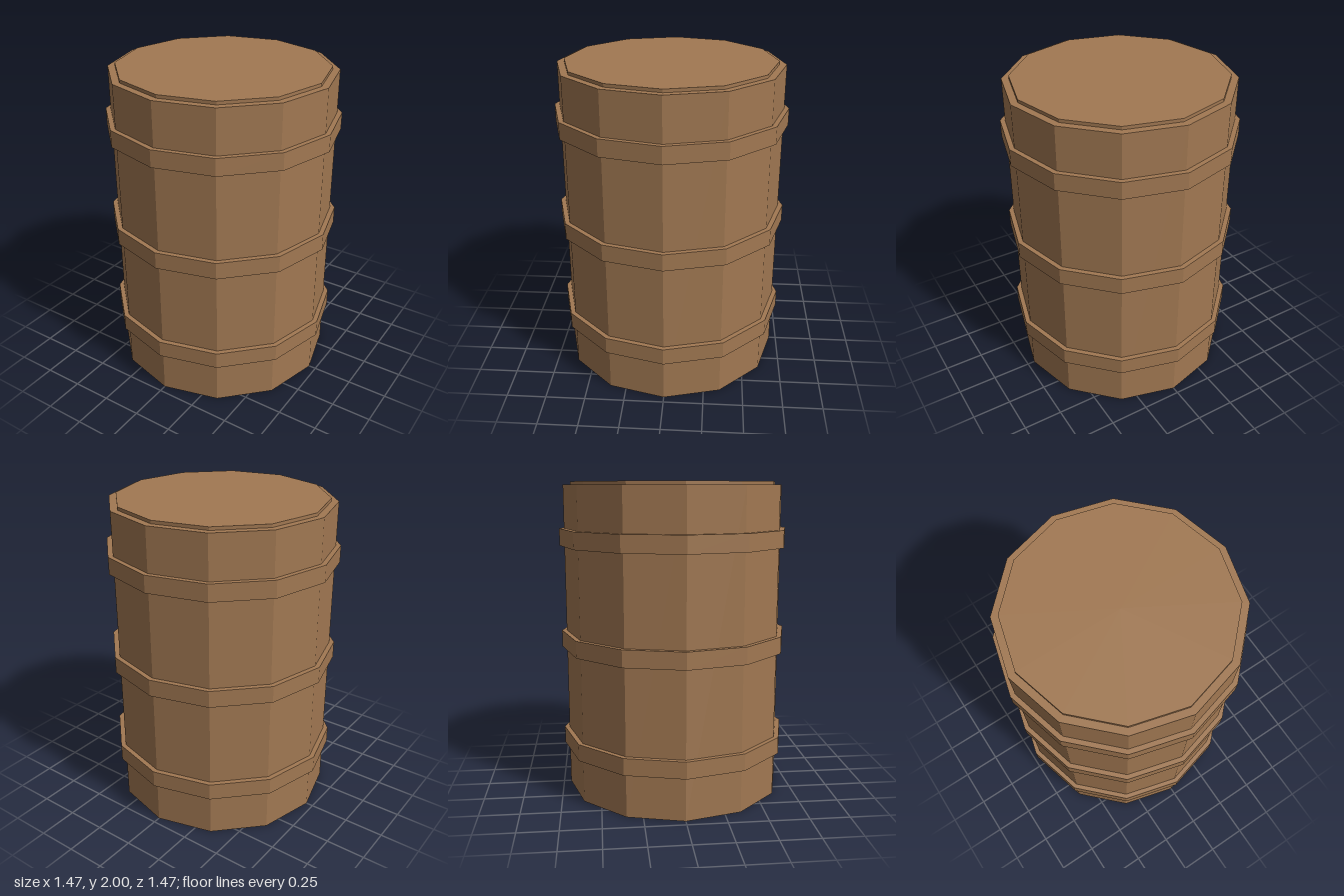
import * as THREE from 'three';

const SIDES = 12;

export function createModel() {
  const model = new THREE.Group();
  model.name = 'barrel';

  const brown = new THREE.MeshStandardMaterial({ color: 0xa17852, flatShading: true });
  brown.name = 'brown';

  // Twelve-sided drum between two heights
  const drum = (name, radius, bottom, top) => {
    const geometry = new THREE.CylinderGeometry(radius, radius, top - bottom, SIDES);
    const mesh = new THREE.Mesh(geometry, brown);
    mesh.name = name;
    mesh.position.y = (bottom + top) / 2;
    model.add(mesh);
  };

  drum('body', 0.704, 0, 1.98);
  drum('lid', 0.659, 1.97, 2);

  // Three raised hoops around the body
  ['lowerHoop', 'middleHoop', 'upperHoop'].forEach((name, i) => {
    const y = 0.333 + i * 0.66;
    drum(name, 0.735, y - 0.054, y + 0.054);
  });

  return model;
}
